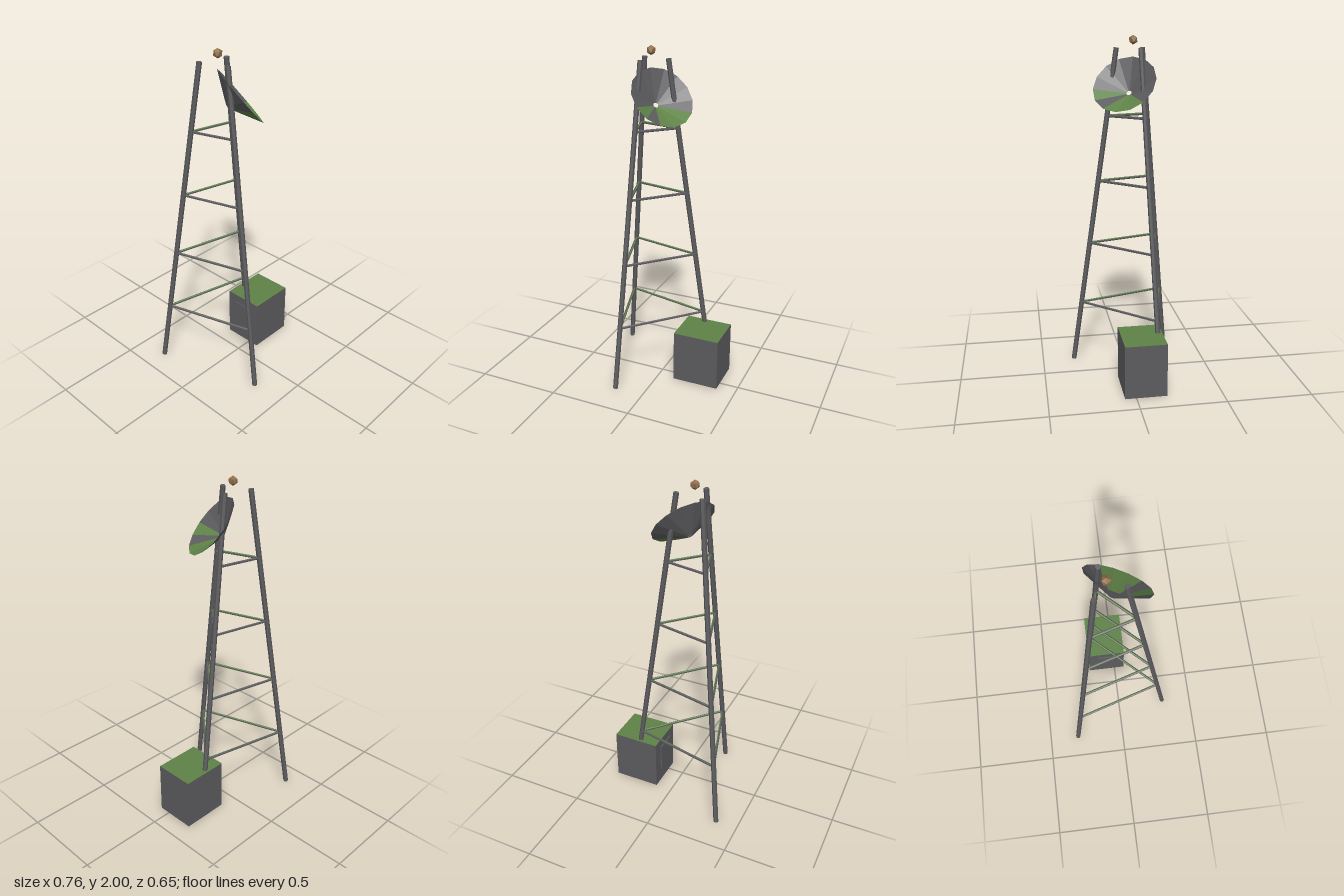
import * as THREE from 'three';

const material = (name, color) => {
  const m = new THREE.MeshStandardMaterial({ color, flatShading: true, side: THREE.DoubleSide });
  m.name = name;
  return m;
};

export function createModel() {
  const model = new THREE.Group();
  model.name = 'radioTower';
  const grey = material('weatheredGrey', 0x5c5c5f);
  const green = material('mossGreen', 0x5e8247);
  const brown = material('beaconBrown', 0x8f6d49);

  const add = (name, geometry, mat) => {
    const mesh = new THREE.Mesh(geometry, mat);
    mesh.name = name;
    model.add(mesh);
    return mesh;
  };

  // Gives each side facet of a cylinder grey (0) or green (1)
  const paintSides = (geometry, sides, greenSides) => {
    geometry.clearGroups();
    for (let i = 0; i < sides; i++) geometry.addGroup(i * 6, 6, greenSides.includes(i) ? 1 : 0);
    const rest = geometry.index.count - sides * 6;
    if (rest > 0) geometry.addGroup(sides * 6, rest, 0);
    return geometry;
  };

  // Six-sided rod between two points, with one ridge on top
  const rod = (name, from, to, radius, greenSides = []) => {
    const geometry = new THREE.CylinderGeometry(radius, radius, from.distanceTo(to), 6);
    paintSides(geometry, 6, greenSides).rotateX(Math.PI / 2);
    const mesh = add(name, geometry, [grey, green]);
    mesh.position.copy(from).lerp(to, 0.5);
    mesh.lookAt(to);
  };

  // Tapering three-legged mast
  const axisX = -0.095, axisZ = -0.057, height = 1.93;
  const angles = [103, -17, -137].map(THREE.MathUtils.degToRad);
  const legPoint = (angle, t) => {
    const r = THREE.MathUtils.lerp(0.373, 0.096, t);
    return new THREE.Vector3(axisX + r * Math.cos(angle), height * t, axisZ + r * Math.sin(angle));
  };
  angles.forEach((angle, i) => {
    rod('leg', legPoint(angle, 0.001), legPoint(angle, 1), 0.015);
    // Horizontal braces, mossy on the inner upper facet
    const next = angles[(i + 1) % 3];
    for (let level = 1; level <= 4; level++) {
      rod('brace', legPoint(angle, level / 5), legPoint(next, level / 5), 0.008, [2]);
    }
  });

  // Shallow conical dish with a central hole, tilted up and outward
  const n = new THREE.Vector3(0.648, 0.635, 0.423).normalize();
  const u = new THREE.Vector3(0, -1, 0).addScaledVector(n, n.y).normalize();
  const v = new THREE.Vector3().crossVectors(n, u);
  const dishGeometry = new THREE.CylinderGeometry(0.188, 0.015, 0.088, 14, 1, true);
  const dish = add('dish', paintSides(dishGeometry, 14, [11, 13, 0, 1]), [grey, green]);
  dish.quaternion.setFromRotationMatrix(new THREE.Matrix4().makeBasis(v, n, u));
  dish.position.set(0.0025, 1.735, 0.01).addScaledVector(n, -0.044);

  // Beacon above the mast
  const beacon = add('beacon', new THREE.IcosahedronGeometry(0.027, 0), brown);
  beacon.rotation.z = Math.atan(2 / (1 + Math.sqrt(5)));
  beacon.position.set(axisX, 1.973, axisZ);

  // Equipment cabinet with a mossy roof and a door panel
  const cabinet = add('cabinet', new THREE.BoxGeometry(0.281, 0.318, 0.244), [grey, grey, green, grey, grey, grey]);
  cabinet.position.set(0.2425, 0.159, -0.056);
  const door = add('cabinetDoor', new THREE.BoxGeometry(0.009, 0.175, 0.13), grey);
  door.position.set(0.0985, 0.178, -0.05);

  return model;
}
